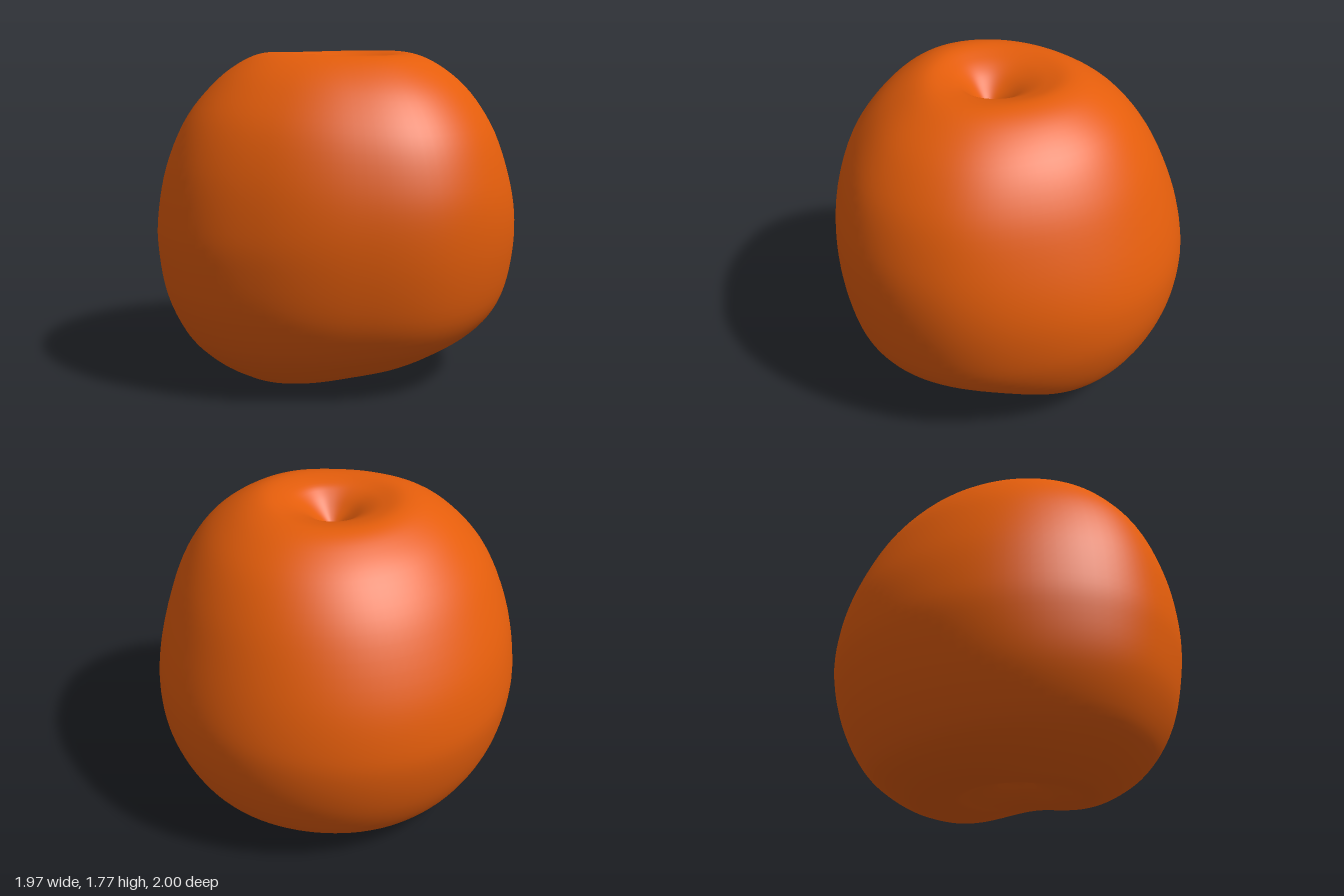
import * as THREE from 'three';

// Half profiles [radius, height] from bottom to top, one per compass direction
const BOTTOM = [[0, 0.18], [0.05, 0.16], [0.13, 0.11], [0.25, 0.065]];
const TOP = [[0.26, 1.748], [0.17, 1.705], [0.09, 1.64], [0.03, 1.59], [0, 1.58]];
const SIDES = [
  // left (+x)
  [[0.4, 0.06], [0.54, 0.1], [0.68, 0.18], [0.8, 0.28], [0.9, 0.44], [0.965, 0.69],
    [0.985, 0.94], [0.96, 1.15], [0.885, 1.37], [0.75, 1.56], [0.59, 1.69], [0.43, 1.76]],
  // front (+z)
  [[0.46, 0.005], [0.62, 0.06], [0.76, 0.155], [0.87, 0.28], [0.96, 0.48], [0.995, 0.7],
    [0.995, 0.9], [0.945, 1.18], [0.84, 1.43], [0.68, 1.62], [0.52, 1.735], [0.38, 1.775]],
  // right (-x)
  [[0.35, 0.03], [0.51, 0.04], [0.68, 0.1], [0.8, 0.2], [0.91, 0.39], [0.98, 0.62],
    [0.992, 0.82], [0.94, 1.08], [0.8, 1.39], [0.64, 1.6], [0.49, 1.715], [0.37, 1.762]],
  // back (-z)
  [[0.34, 0.045], [0.61, 0.065], [0.79, 0.19], [0.9, 0.35], [0.975, 0.55], [0.998, 0.74],
    [0.98, 0.92], [0.915, 1.15], [0.82, 1.39], [0.69, 1.59], [0.53, 1.72], [0.38, 1.772]],
];
// Radius factor every 30 degrees, turning from +x towards +z
const PLAN = new THREE.CatmullRomCurve3(
  [0.99, 0.92, 0.93, 0.997, 0.995, 0.995, 1, 1.01, 1.015, 1, 0.98, 1]
    .map((f) => new THREE.Vector3(f, 0, 0)), true, 'catmullrom');

function fruitGeometry(rows = 96, cols = 96) {
  const profiles = SIDES.map((side) => new THREE.SplineCurve(
    [...BOTTOM, ...side, ...TOP].map(([r, y]) => new THREE.Vector2(r, y))).getPoints(rows));
  const positions = [];
  const indices = [];

  for (let j = 0; j <= rows; j++) {
    for (let i = 0; i < cols; i++) {
      const angle = (i / cols) * Math.PI * 2;
      const quarter = Math.floor((i * 4) / cols);
      const blend = Math.sin(angle - quarter * Math.PI / 2) ** 2;
      const p = profiles[quarter][j].clone().lerp(profiles[(quarter + 1) % 4][j], blend);
      const r = Math.max(0, p.x) * PLAN.getPoint(i / cols).x;
      // Stem hollow leans towards the front left
      const lean = p.y > 1 ? Math.exp(-(r ** 2) / 0.05) : 0;
      const x = r * Math.cos(angle) + 0.05 * lean;
      const z = r * Math.sin(angle) + 0.02 * lean;
      // Shallow dent under the back left
      const low = 1 - THREE.MathUtils.smoothstep(p.y, 0.15, 0.55);
      const dent = 0.08 * low * Math.exp(-((x - 0.43) ** 2 + (z + 0.38) ** 2) / 0.09);
      positions.push(x, p.y + dent, z);

      if (j < rows) {
        const a = j * cols + i;
        const b = j * cols + (i + 1) % cols;
        indices.push(a, a + cols, b, b, a + cols, b + cols);
      }
    }
  }
  const geometry = new THREE.BufferGeometry();
  geometry.setAttribute('position', new THREE.Float32BufferAttribute(positions, 3));
  geometry.setIndex(indices);
  geometry.computeVertexNormals();
  return geometry;
}

export function createModel() {
  const model = new THREE.Group();
  model.name = 'fruit';

  const orangeSkin = new THREE.MeshStandardMaterial({ color: 0xe45d0b });
  orangeSkin.name = 'orangeSkin';

  // Fruit body with stem hollow and bottom hollow
  const body = new THREE.Mesh(fruitGeometry(), orangeSkin);
  body.name = 'fruitBody';
  model.add(body);
  return model;
}
